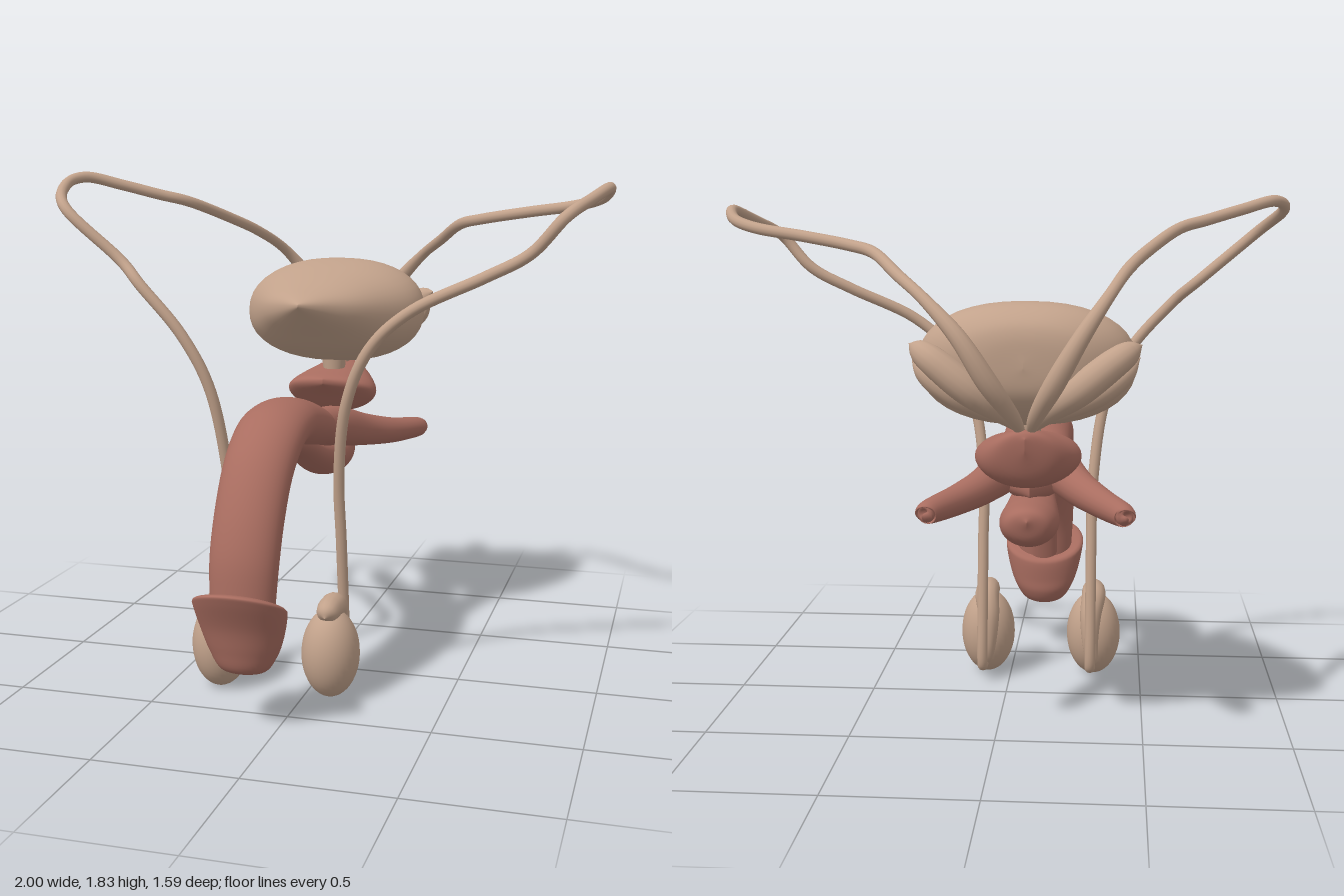
import * as THREE from 'three';
import { mergeVertices } from 'three/addons/utils/BufferGeometryUtils.js';

const MID = -0.11; // x of the middle plane of the central organs

const tan = new THREE.MeshStandardMaterial({ color: 0xc2a28b });
tan.name = 'tan';
const red = new THREE.MeshStandardMaterial({ color: 0xa96d60 });
red.name = 'reddish brown';

// Smooth body from rings [zTop, yTop, zBottom, yBottom, halfWidth], listed back to front.
function loft(rings, power = 1, steps = 6, sides = 40) {
  const curve = (a, b) => new THREE.CatmullRomCurve3(
    rings.map(r => new THREE.Vector3(r[4], r[b], r[a])), false, 'catmullrom', 0.5);
  const top = curve(0, 1), bottom = curve(2, 3);
  const n = (rings.length - 1) * steps, pos = [], idx = [];
  const soft = v => Math.sign(v) * Math.abs(v) ** power;
  for (let i = 0; i <= n; i++) {
    const t = top.getPoint(i / n), b = bottom.getPoint(i / n);
    for (let j = 0; j < sides; j++) {
      const a = j / sides * Math.PI * 2, c = soft(Math.cos(a)), s = soft(Math.sin(a));
      pos.push(MID + Math.max(t.x, 0) * c,
        (t.y + b.y) / 2 + s * (t.y - b.y) / 2,
        (t.z + b.z) / 2 + s * (t.z - b.z) / 2);
      if (i < n) {
        const k = (j + 1) % sides, p = i * sides, q = p + sides;
        idx.push(p + j, p + k, q + j, p + k, q + k, q + j);
      }
    }
  }
  const g = new THREE.BufferGeometry();
  g.setAttribute('position', new THREE.Float32BufferAttribute(pos, 3));
  g.setIndex(idx);
  g.computeVertexNormals();
  return g;
}

// Tube through points [x, y, z, radius] whose radius changes along its length.
function taper(points, sides = 14, steps = 8) {
  const smooth = list => new THREE.CatmullRomCurve3(list, false, 'catmullrom', 0.5);
  const path = smooth(points.map(p => new THREE.Vector3(p[0], p[1], p[2])));
  const radius = smooth(points.map(p => new THREE.Vector3(p[3], 0, 0)));
  path.getUtoTmapping = u => u;
  const n = (points.length - 1) * steps;
  let g = new THREE.TubeGeometry(path, n, 1, sides);
  const pos = g.attributes.position, v = new THREE.Vector3();
  for (let i = 0; i <= n; i++) {
    const c = path.getPoint(i / n), r = Math.max(radius.getPoint(i / n).x, 0.0005);
    for (let j = 0; j <= sides; j++) {
      const k = i * (sides + 1) + j;
      v.fromBufferAttribute(pos, k).sub(c).multiplyScalar(r).add(c);
      pos.setXYZ(k, v.x, v.y, v.z);
    }
  }
  g.deleteAttribute('uv');
  g.deleteAttribute('normal');
  g = mergeVertices(g, 1e-5);
  g.computeVertexNormals();
  return g;
}

export function createModel() {
  const model = new THREE.Group();
  const add = (name, geometry, material) => {
    const mesh = new THREE.Mesh(geometry, material);
    mesh.name = name;
    model.add(mesh);
    return mesh;
  };

  // Bladder with a pointed front, and its short neck
  add('bladder', loft([
    [-.75, 1.32, -.75, 1.30, 0], [-.745, 1.4, -.735, 1.22, .14], [-.72, 1.45, -.69, 1.16, .24],
    [-.66, 1.49, -.62, 1.115, .32], [-.58, 1.5, -.53, 1.1, .35], [-.46, 1.485, -.43, 1.115, .335],
    [-.32, 1.455, -.3, 1.165, .265], [-.18, 1.42, -.18, 1.24, .18], [-.08, 1.395, -.08, 1.305, .085],
    [0, 1.37, 0, 1.36, 0]], 0.88), tan);
  const neck = add('bladderNeck', new THREE.CylinderGeometry(.05, .04, .1, 20), tan);
  neck.position.set(MID, 1.09, -.5);

  // Prostate
  add('prostate', loft([
    [-.665, 1.07, -.66, 1.03, 0], [-.64, 1.095, -.62, .93, .1], [-.55, 1.085, -.56, .895, .155],
    [-.45, 1.07, -.47, .91, .175], [-.38, 1.06, -.39, .98, .13], [-.33, 1.05, -.33, 1.03, 0]]), red);

  // Arched shaft, underside column with bulb, and end cap
  add('upperShaft', loft([
    [-.4, .875, -.4, .83, 0], [-.25, .935, -.25, .8, .11], [-.1, .99, -.1, .83, .128],
    [.05, 1.04, .05, .86, .125], [.2, 1.06, .2, .89, .125], [.36, 1.035, .3, .87, .125],
    [.51, .94, .41, .785, .122], [.62, .79, .49, .66, .12], [.69, .62, .54, .53, .118],
    [.71, .45, .56, .4, .11]]), red);
  add('lowerColumn', loft([
    [-.56, .78, -.55, .76, 0], [-.53, .82, -.52, .7, .075], [-.42, .83, -.42, .67, .1],
    [-.3, .83, -.3, .68, .095], [-.15, .85, -.15, .74, .075], [0, .9, 0, .81, .06],
    [.15, .93, .15, .855, .055], [.28, .92, .26, .855, .055], [.42, .83, .375, .765, .055],
    [.53, .65, .47, .6, .055], [.58, .45, .53, .4, .055]]), red);
  add('endCap', loft([
    [.66, .47, .6, .43, 0], [.74, .51, .56, .4, .12], [.79, .52, .535, .385, .155],
    [.785, .49, .53, .36, .157], [.74, .39, .535, .3, .14], [.715, .3, .54, .25, .115],
    [.69, .23, .57, .205, .075], [.63, .2, .62, .2, 0]]), red);

  // Paired parts beside the middle plane
  for (const [side, s] of [['left', 1], ['right', -1]]) {
    const at = pts => pts.map(([x, y, z, r]) => [MID + s * x, y, z, r]);

    add(side + 'Crus', taper(at([
      [.05, .94, .02, .05], [.09, .9, -.18, .075], [.16, .86, -.34, .062], [.24, .835, -.48, .05],
      [.31, .825, -.62, .04], [.32, .82, -.645, .028], [.322, .82, -.648, 0]]), 18), red);

    // Lobed gland behind the bladder
    add(side + 'SeminalVesicle', taper(at([
      [.02, 1.09, -.58, .012], [.08, 1.16, -.67, .035], [.17, 1.23, -.715, .05],
      [.27, 1.31, -.71, .048], [.33, 1.35, -.675, .035], [.365, 1.37, -.655, 0]])), tan);
    add(side + 'SeminalLobe', taper(at([
      [.05, 1.12, -.62, .012], [.13, 1.17, -.66, .035], [.23, 1.22, -.68, .042],
      [.31, 1.28, -.67, .035], [.36, 1.33, -.64, 0]])), tan);

    // Testis with the crest draped over its top and back
    const cx = s > 0 ? .09 : -.32;
    const testis = add(side + 'Testis', new THREE.SphereGeometry(1, 32, 24), tan);
    testis.scale.set(.103, .16, .112);
    testis.position.set(cx, .172, .27);
    add(side + 'Epididymis', taper([
      [cx, .32, .35, 0], [cx, .33, .325, .035], [cx, .335, .27, .045], [cx, .325, .21, .045],
      [cx - s * .01, .26, .17, .04], [cx - s * .01, .16, .155, .03], [cx, .09, .16, .022],
      [cx + s * .01, .065, .165, 0]]), tan);
  }

  // The two long ducts, each looping outward and ending behind the bladder
  const R = .02;
  const duct = pts => taper(pts.map(([x, y, z, r = R]) => [x, y, z, r]), 12);
  add('leftDuct', duct([
    [.1, .075, .165], [.1, .075, .125], [.1, .15, .115], [.1, .3, .13], [.1, .55, .165],
    [.1, .8, .2], [.135, 1.05, .245], [.22, 1.25, .27], [.37, 1.39, .275], [.6, 1.5, .235],
    [.75, 1.58, .22], [.86, 1.7, .22], [.93, 1.755, .1], [.978, 1.79, -.02], [.95, 1.755, -.1],
    [.85, 1.725, -.17], [.68, 1.7, -.24], [.5, 1.67, -.33], [.4, 1.645, -.42], [.3, 1.58, -.58],
    [.2, 1.51, -.7], [.09, 1.4, -.765, .028], [0, 1.26, -.755, .034], [-.07, 1.15, -.69, .026],
    [-.1, 1.07, -.59, .012]]), tan);
  add('rightDuct', duct([
    [-.31, .075, .165], [-.31, .075, .125], [-.31, .15, .115], [-.31, .3, .13], [-.31, .55, .165],
    [-.315, .8, .2], [-.355, 1.08, .245], [-.45, 1.28, .27], [-.6, 1.45, .27], [-.7, 1.54, .225],
    [-.9, 1.71, .22], [-.978, 1.79, .06], [-.935, 1.82, -.03], [-.82, 1.79, -.1],
    [-.7, 1.755, -.16], [-.6, 1.725, -.23], [-.5, 1.66, -.4], [-.43, 1.6, -.55],
    [-.37, 1.52, -.7], [-.29, 1.4, -.765, .028], [-.21, 1.26, -.755, .034],
    [-.15, 1.15, -.69, .026], [-.12, 1.07, -.59, .012]]), tan);

  return model;
}
